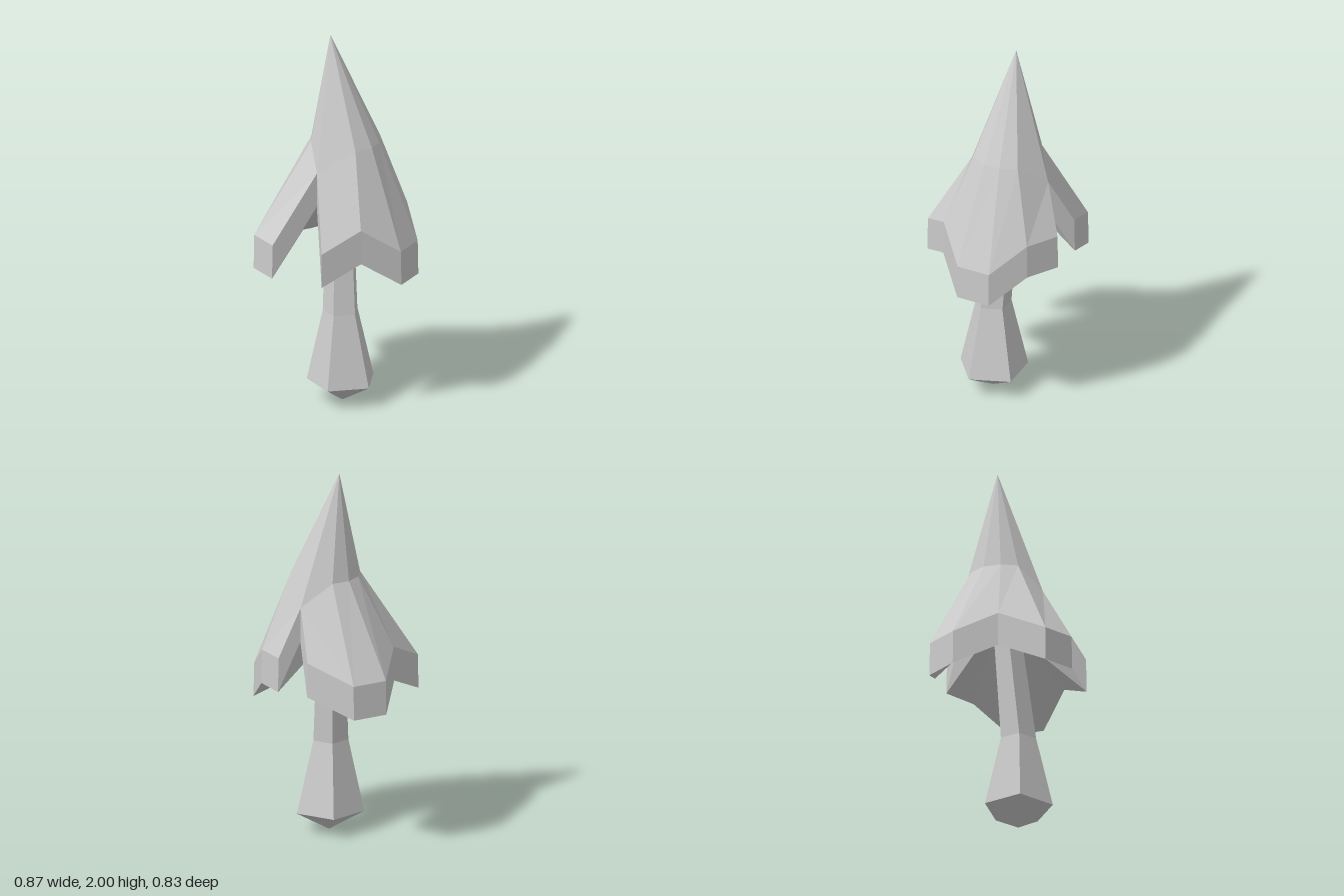
import * as THREE from 'three';

const material = new THREE.MeshStandardMaterial({ color: 0xcccccc, flatShading: true });

// Collects faces given as corner lists (counter-clockwise from outside) into a mesh
function faceMesh(name, faces) {
  const pos = [];
  for (const f of faces)
    for (let i = 1; i < f.length - 1; i++) pos.push(...f[0], ...f[i], ...f[i + 1]);
  const g = new THREE.BufferGeometry();
  g.setAttribute('position', new THREE.Float32BufferAttribute(pos, 3));
  g.computeVertexNormals();
  const mesh = new THREE.Mesh(g, material);
  mesh.name = name;
  return mesh;
}

const THICKNESS = 0.185;
const APEX = [-0.047, 2, -0.047];
const HUB = [-0.04, 1.16, -0.05]; // where the underside meets the trunk
const FRONT_SLIT = [0.055, 1.31, 0.17];
const BACK_SLIT = [-0.02, 1.31, -0.3];
// Lower edge, flaring out very slightly
const drop = ([x, y, z]) => [x * 1.008, y - THICKNESS, z * 1.008];

// One half of the crown: folded top from the apex over a shoulder row to a rim, fanned underside
function crownHalf(name, shoulder, rim) {
  const faces = [];
  const last = rim.length - 1;
  for (let i = 0; i < last; i++) {
    const m = shoulder[i], n = shoulder[i + 1], o = rim[i], p = rim[i + 1];
    faces.push([APEX, n, m]);
    // the folds beside a slit start at the slit's top corner
    if (i === last - 1) faces.push([m, n, o], [n, p, o]);
    else faces.push([m, n, p], [m, p, o]);
  }
  // walls along slit, rim and slit, each joined to the hub by an underside face
  const edge = [shoulder[0], ...rim, shoulder[last]];
  for (let i = 0; i < edge.length - 1; i++) {
    const a = edge[i], b = edge[i + 1];
    faces.push([a, b, drop(b), drop(a)], [HUB, drop(a), drop(b)]);
  }
  return faceMesh(name, faces);
}

// Five-sided trunk lofted through rings of [centre x, y, centre z, radius]
function makeTrunk() {
  const rings = [
    [0.08, 0, 0, 0], [0.08, 0.11, 0, 0.187], [0.075, 0.5, 0.003, 0.097],
    [0.02, 1.25, -0.048, 0.07], [0, 1.4, -0.06, 0],
  ];
  const corner = ([x, y, z, r], i) => {
    const a = (i / 5) * Math.PI * 2;
    return [x + r * Math.cos(a), y, z + r * Math.sin(a)];
  };
  const faces = [];
  for (let k = 0; k < rings.length - 1; k++)
    for (let i = 0; i < 5; i++)
      faces.push([corner(rings[k + 1], i), corner(rings[k + 1], i + 1),
        corner(rings[k], i + 1), corner(rings[k], i)]);
  return faceMesh('trunk', faces);
}

export function createModel() {
  const tree = new THREE.Group();
  tree.name = 'tree';
  tree.add(makeTrunk());

  // Both halves run clockwise seen from above: front to back, then back to front
  tree.add(crownHalf('rightCrown',
    [FRONT_SLIT, [-0.06, 1.435, 0.09], [-0.12, 1.435, 0.02], [-0.145, 1.435, -0.07],
      [-0.12, 1.435, -0.165], BACK_SLIT],
    [[-0.04, 0.95, 0.41], [-0.215, 0.95, 0.36], [-0.29, 1.065, 0.115], [-0.43, 0.955, -0.075],
      [-0.375, 0.95, -0.255], [-0.145, 1.05, -0.37]]));
  tree.add(crownHalf('leftCrown',
    [BACK_SLIT, [0.14, 1.43, -0.23], [0.2, 1.43, -0.155], [0.225, 1.43, -0.07],
      [0.2, 1.43, 0.03], FRONT_SLIT],
    [[0.03, 1.045, -0.412], [0.21, 1.04, -0.36], [0.385, 0.9, -0.25], [0.43, 0.9, -0.07],
      [0.325, 1.045, 0.125], [0.23, 0.945, 0.325]]));
  return tree;
}
